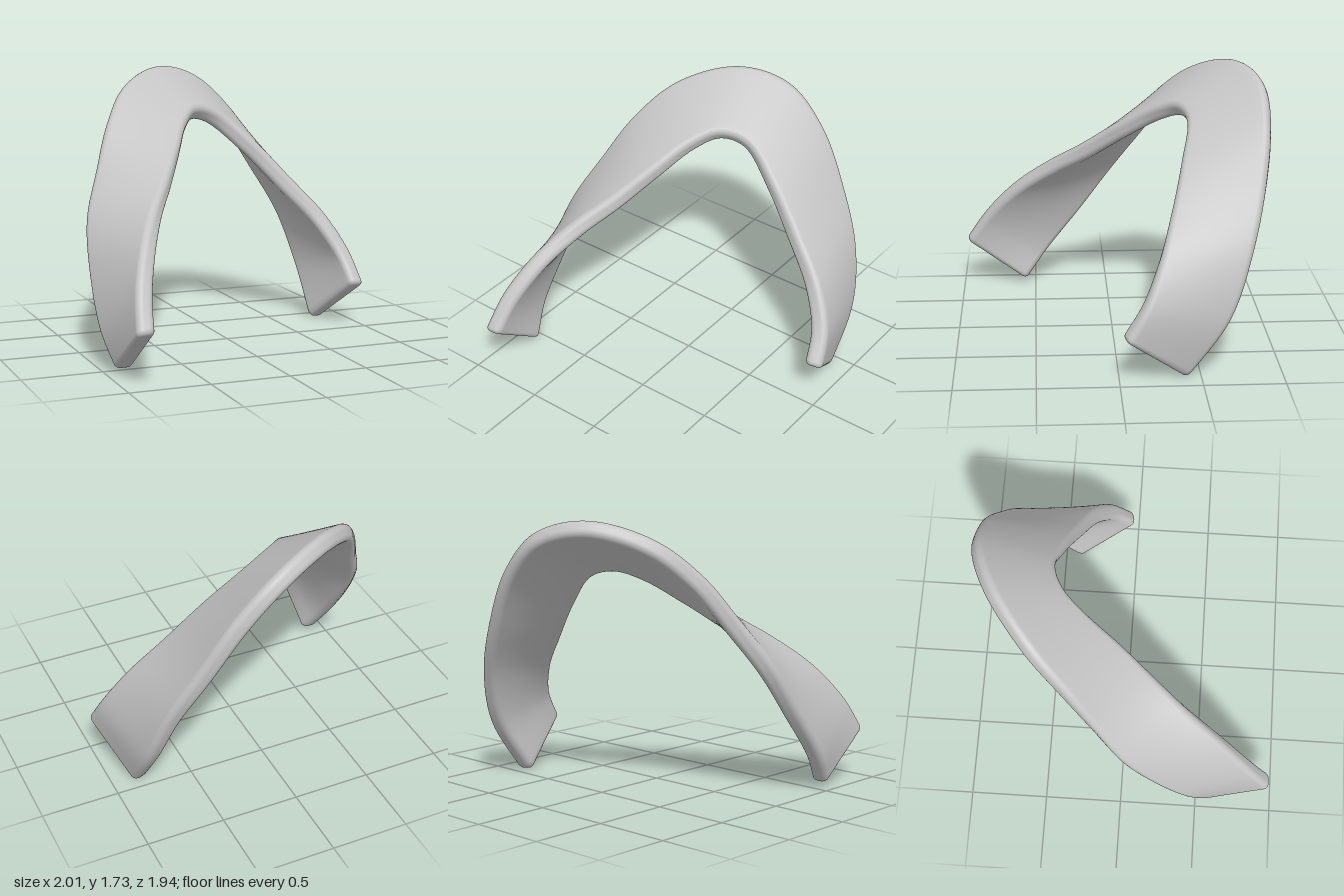
import * as THREE from 'three';

const THICKNESS = 0.113;
const CORNER = 0.042;
const BEVEL = 0.028;
const STEPS = 130;

// Matching points along the inner and outer edge of the band
const INNER = [
  [-0.88, 0.325, 0.978], [-0.835, 0.53, 0.835], [-0.735, 0.745, 0.635], [-0.6, 0.92, 0.4],
  [-0.455, 1.06, 0.18], [-0.31, 1.225, -0.05], [-0.175, 1.375, -0.28], [-0.06, 1.43, -0.415],
  [0.095, 1.39, -0.475], [0.33, 1.19, -0.42], [0.58, 0.925, -0.33], [0.79, 0.695, -0.24],
  [0.92, 0.475, -0.14], [0.967, 0.29, -0.025],
];
const OUTER = [
  [-0.893, 0.022, 0.565], [-0.95, 0.225, 0.42], [-0.95, 0.55, 0.175], [-0.92, 0.82, -0.005],
  [-0.81, 1.1, -0.185], [-0.69, 1.37, -0.365], [-0.51, 1.59, -0.585], [-0.2, 1.7, -0.825],
  [0.1, 1.625, -0.95], [0.35, 1.395, -0.958], [0.56, 1.05, -0.903], [0.725, 0.72, -0.81],
  [0.81, 0.36, -0.675], [0.812, -0.012, -0.412],
];

const toCurve = (pts) => new THREE.CatmullRomCurve3(pts.map((p) => new THREE.Vector3(...p)));

// Flat section with rounded corners: list of [along width, along thickness]
function section(halfWidth, halfThick, radius) {
  const pts = [];
  const x = halfWidth - radius;
  const y = halfThick - radius;
  const corners = [[1, -1], [1, 1], [-1, 1], [-1, -1]];
  corners.forEach(([sx, sy], c) => {
    for (let k = 0; k <= 6; k++) {
      const a = ((c - 1) * Math.PI) / 2 + ((Math.PI / 2) * k) / 6;
      pts.push([sx * x + radius * Math.cos(a), sy * y + radius * Math.sin(a)]);
    }
    // Extra points across the two broad sides
    if (sx === sy) {
      for (let k = 1; k < 10; k++) pts.push([sx * x * (1 - k / 5), sy * halfThick]);
    }
  });
  return pts;
}

function bandGeometry() {
  const inner = toCurve(INNER);
  const outer = toCurve(OUTER);
  const centre = (t) => inner.getPoint(t).add(outer.getPoint(t)).multiplyScalar(0.5);

  // Stations along the band, with extra rings for the bevelled ends
  const bevelT = BEVEL / 2.9;
  const stations = [];
  for (let k = 0; k <= 6; k++) {
    const a = (k / 6) * (Math.PI / 2);
    stations.push({ t: bevelT * (1 - Math.cos(a)), inset: BEVEL * (1 - Math.sin(a)) });
  }
  const ends = stations.map((s) => ({ t: 1 - s.t, inset: s.inset })).reverse();
  for (let i = 1; i < STEPS; i++) {
    stations.push({ t: bevelT + ((1 - 2 * bevelT) * i) / STEPS, inset: 0 });
  }
  stations.push(...ends);

  const positions = [];
  const index = [];
  let ring = 0;
  for (const { t, inset } of stations) {
    const c = centre(t);
    const w = outer.getPoint(t).sub(inner.getPoint(t));
    const halfWidth = w.length() / 2 - inset;
    w.normalize();
    const tangent = centre(Math.min(1, t + 0.002)).sub(centre(Math.max(0, t - 0.002)));
    const n = tangent.cross(w).normalize();
    const pts = section(halfWidth, THICKNESS / 2 - inset, CORNER - inset);
    ring = pts.length;
    for (const [u, v] of pts) {
      const p = c.clone().addScaledVector(w, u).addScaledVector(n, v);
      positions.push(p.x, p.y, p.z);
    }
  }

  // Skin between neighbouring rings
  const last = stations.length - 1;
  for (let i = 0; i < last; i++) {
    for (let j = 0; j < ring; j++) {
      const k = (j + 1) % ring;
      const a = i * ring;
      const b = a + ring;
      index.push(a + j, a + k, b + k, a + j, b + k, b + j);
    }
  }

  // Flat end caps
  for (const [i, t] of [[0, 0], [last, 1]]) {
    const c = centre(t);
    const start = positions.length / 3;
    positions.push(c.x, c.y, c.z);
    for (let j = 0; j < ring; j++) {
      const o = (i * ring + j) * 3;
      positions.push(positions[o], positions[o + 1], positions[o + 2]);
    }
    for (let j = 0; j < ring; j++) {
      const a = start + 1 + j;
      const b = start + 1 + ((j + 1) % ring);
      if (t === 0) index.push(start, b, a);
      else index.push(start, a, b);
    }
  }

  const geometry = new THREE.BufferGeometry();
  geometry.setAttribute('position', new THREE.Float32BufferAttribute(positions, 3));
  geometry.setIndex(index);
  geometry.computeVertexNormals();
  return geometry;
}

export function createModel() {
  const group = new THREE.Group();
  group.name = 'twistedArch';
  const material = new THREE.MeshStandardMaterial({ color: 0xc4c4c4 });
  material.name = 'light grey';
  const band = new THREE.Mesh(bandGeometry(), material);
  band.name = 'archBand';
  group.add(band);
  return group;
}
